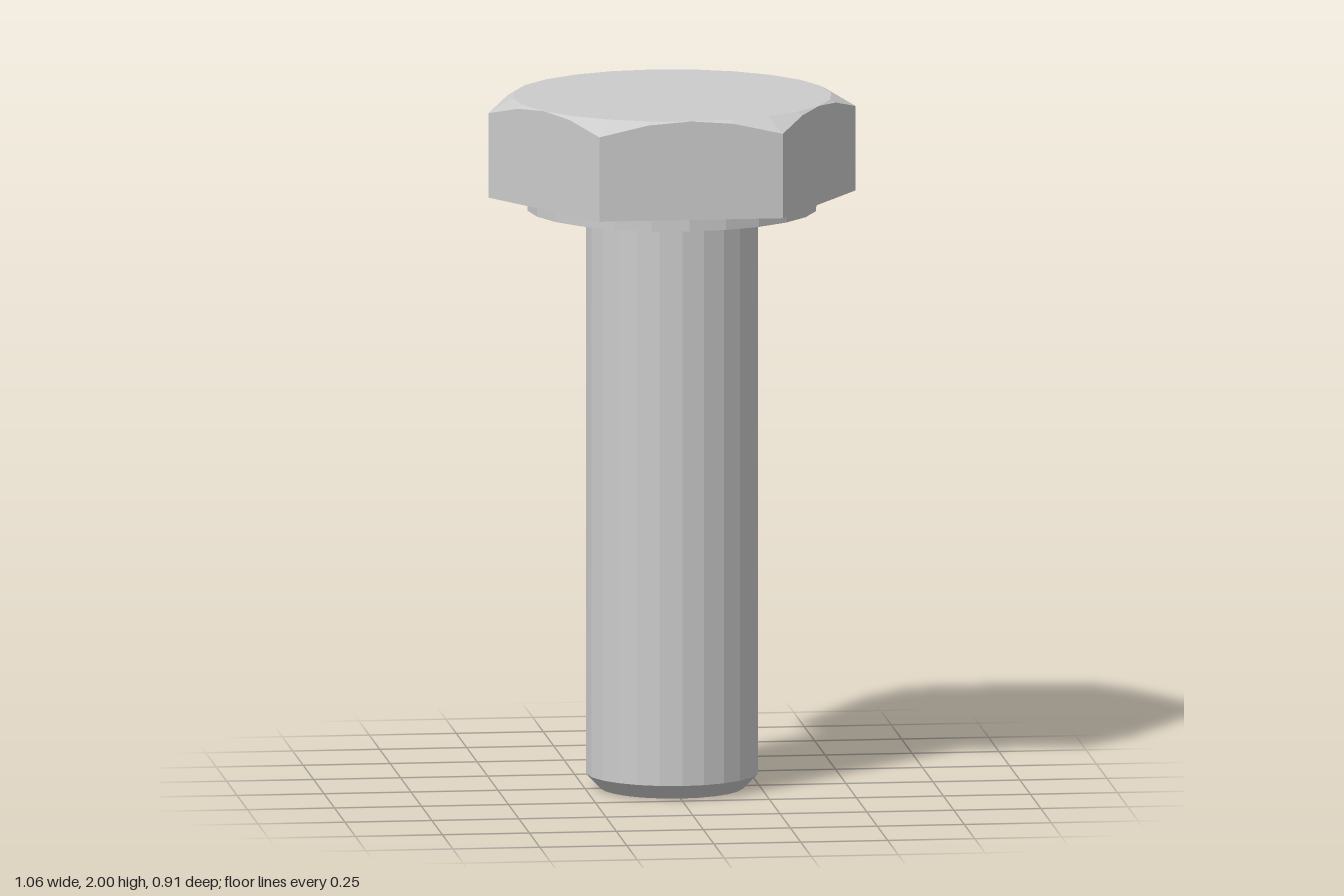
import * as THREE from 'three';

const SIDES = 24;
const APOTHEM = 0.457, HEAD_BOTTOM = 1.715, TOP = 2;
const WASHER_BOTTOM = 1.675, SHANK_R = 0.247;

const material = new THREE.MeshStandardMaterial({ color: 0xcccccc, flatShading: true });

// Faceted solid of revolution from [radius, height] pairs, listed bottom to top
function lathe(profile) {
  return new THREE.LatheGeometry(profile.map(([r, y]) => new THREE.Vector2(r, y)), SIDES);
}

function part(name, geometry) {
  const flat = geometry.toNonIndexed();
  flat.computeVertexNormals();
  const mesh = new THREE.Mesh(flat, material);
  mesh.name = name;
  return mesh;
}

// Hexagonal head: a disc whose outer rings are pushed out to the hexagon,
// with the corners cut by a 30 degree cone around the round top face
function headGeometry() {
  const profile = [[0, HEAD_BOTTOM], [APOTHEM, HEAD_BOTTOM], [APOTHEM, 1.96], [APOTHEM, TOP], [0, TOP]];
  const geometry = lathe(profile);
  const pos = geometry.attributes.position;
  const step = Math.PI / 3;
  for (let i = 0; i < pos.count; i++) {
    const ring = i % profile.length;
    if (ring !== 1 && ring !== 2) continue;
    const angle = Math.floor(i / profile.length) * 2 * Math.PI / SIDES;
    const offset = angle - Math.round(angle / step) * step; // from the middle of the flat
    const r = APOTHEM / Math.cos(offset);
    const y = ring === 1 ? HEAD_BOTTOM : TOP - (r - APOTHEM) * Math.tan(Math.PI / 6);
    pos.setXYZ(i, r * Math.sin(angle), y, r * Math.cos(angle));
  }
  return geometry;
}

export function createModel() {
  const bolt = new THREE.Group();
  bolt.name = 'hexBolt';

  bolt.add(part('hexHead', headGeometry()));

  // Thin bearing collar under the head
  bolt.add(part('washerFace', lathe([
    [0, WASHER_BOTTOM], [0.415, WASHER_BOTTOM], [0.415, HEAD_BOTTOM],
  ])));

  // Shank with a chamfered tip and a small concave fillet below the collar
  const fillet = 0.02;
  const profile = [[0, 0], [0.205, 0], [SHANK_R, 0.043]];
  for (let i = 0; i <= 4; i++) {
    const a = (i / 4) * Math.PI / 2;
    profile.push([
      SHANK_R + fillet * (1 - Math.cos(a)),
      WASHER_BOTTOM - fillet * (1 - Math.sin(a)),
    ]);
  }
  bolt.add(part('shank', lathe(profile)));

  return bolt;
}
